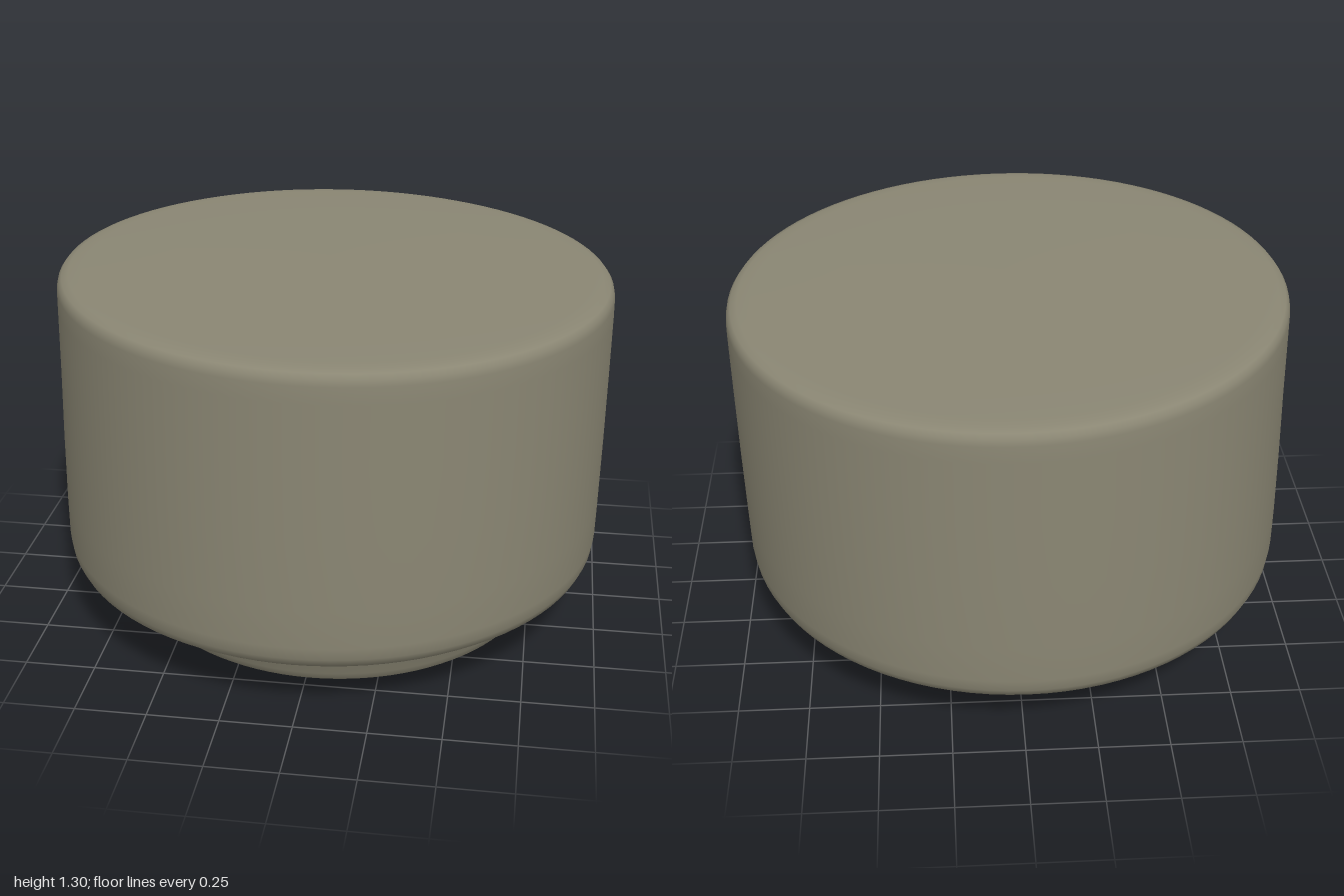
import * as THREE from 'three';

export function createModel() {
  const group = new THREE.Group();
  group.name = 'roundKnob';
  const stone = new THREE.MeshStandardMaterial({ color: 0x8a8673 });
  stone.name = 'greyOlive';

  // Profile from the centre of the foot, up the side, to the centre of the cap
  const profile = [
    [0, 0.006], [0.3, 0.008], [0.6, 0.014], [0.70, 0.018], [0.73, 0.023], [0.745, 0.035],
    [0.755, 0.06], [0.77, 0.10], [0.785, 0.135], [0.81, 0.16], [0.85, 0.18],
    [0.90, 0.198], [0.945, 0.215], [0.972, 0.235], [0.986, 0.265], [0.992, 0.31],
    [0.993, 0.45], [0.992, 0.70], [0.989, 0.95], [0.987, 1.18], [0.986, 1.24],
    [0.981, 1.262], [0.969, 1.278], [0.945, 1.286], [0.90, 1.289], [0.6, 1.296], [0, 1.298],
  ].map(([r, y]) => new THREE.Vector2(r, y));
  const geometry = new THREE.LatheGeometry(profile, 96);

  // Slight lean: the cap dips and drifts towards +x, the foot sits off centre
  const p = geometry.attributes.position;
  for (let i = 0; i < p.count; i++) {
    const x = p.getX(i), y = p.getY(i);
    const up = THREE.MathUtils.smoothstep(y, 0.2, 1.3);
    const foot = 1 - THREE.MathUtils.smoothstep(y, 0.03, 0.24);
    p.setX(i, x - 0.006 + 0.014 * up + 0.02 * foot);
    p.setY(i, Math.max(0, y - 0.016 * x * up - 0.006 * x * foot));
  }

  const body = new THREE.Mesh(geometry, stone);
  body.name = 'knobBody';
  group.add(body);
  return group;
}
